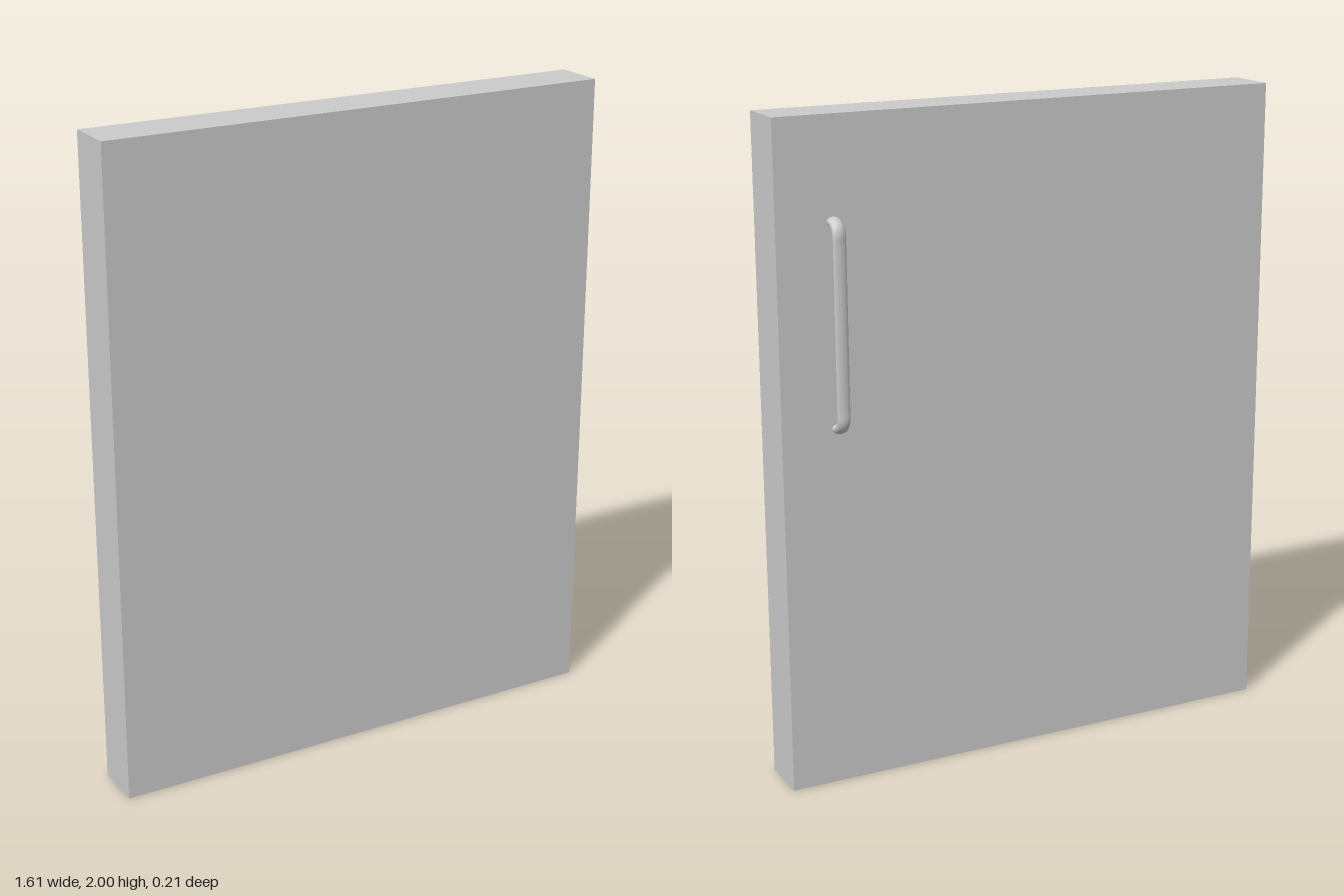
import * as THREE from 'three';

const material = new THREE.MeshStandardMaterial({ color: 0xcccccc });

// Flat door slab
function createPanel() {
  const mesh = new THREE.Mesh(new THREE.BoxGeometry(1.606, 2, 0.16), material);
  mesh.name = 'doorPanel';
  mesh.position.set(0, 1, 0.025);
  return mesh;
}

// Bow handle: oval section swept along a U, slimmer in the grip than at the feet
function createHandle() {
  const v = (y, z) => new THREE.Vector3(0, y, z);
  const path = new THREE.CurvePath();
  path.add(new THREE.LineCurve3(v(0.3, 0.015), v(0.3, 0)));
  path.add(new THREE.CubicBezierCurve3(v(0.3, 0), v(0.3, -0.026), v(0.284, -0.042), v(0.25, -0.042)));
  path.add(new THREE.LineCurve3(v(0.25, -0.042), v(-0.25, -0.042)));
  path.add(new THREE.CubicBezierCurve3(v(-0.25, -0.042), v(-0.284, -0.042), v(-0.3, -0.026), v(-0.3, 0)));
  path.add(new THREE.LineCurve3(v(-0.3, 0), v(-0.3, 0.015)));

  const rings = 120, sides = 20, radius = 0.02;
  const geometry = new THREE.TubeGeometry(path, rings, radius, sides, false);
  const pos = geometry.attributes.position;
  for (let i = 0; i <= rings; i++) {
    const c = path.getPointAt(i / rings);
    // Half thickness, easing from foot to grip
    const half = THREE.MathUtils.lerp(0.008, 0.014, THREE.MathUtils.smoothstep(Math.abs(c.y), 0.24, 0.3));
    const k = half / radius;
    for (let j = 0; j <= sides; j++) {
      const n = i * (sides + 1) + j;
      pos.setY(n, c.y + (pos.getY(n) - c.y) * k);
      pos.setZ(n, c.z + (pos.getZ(n) - c.z) * k);
    }
  }
  geometry.computeVertexNormals();

  const mesh = new THREE.Mesh(geometry, material);
  mesh.name = 'handle';
  mesh.position.set(0.63, 1.4, -0.055);
  return mesh;
}

export function createModel() {
  const group = new THREE.Group();
  group.name = 'cabinetDoor';
  group.add(createPanel(), createHandle());
  return group;
}
